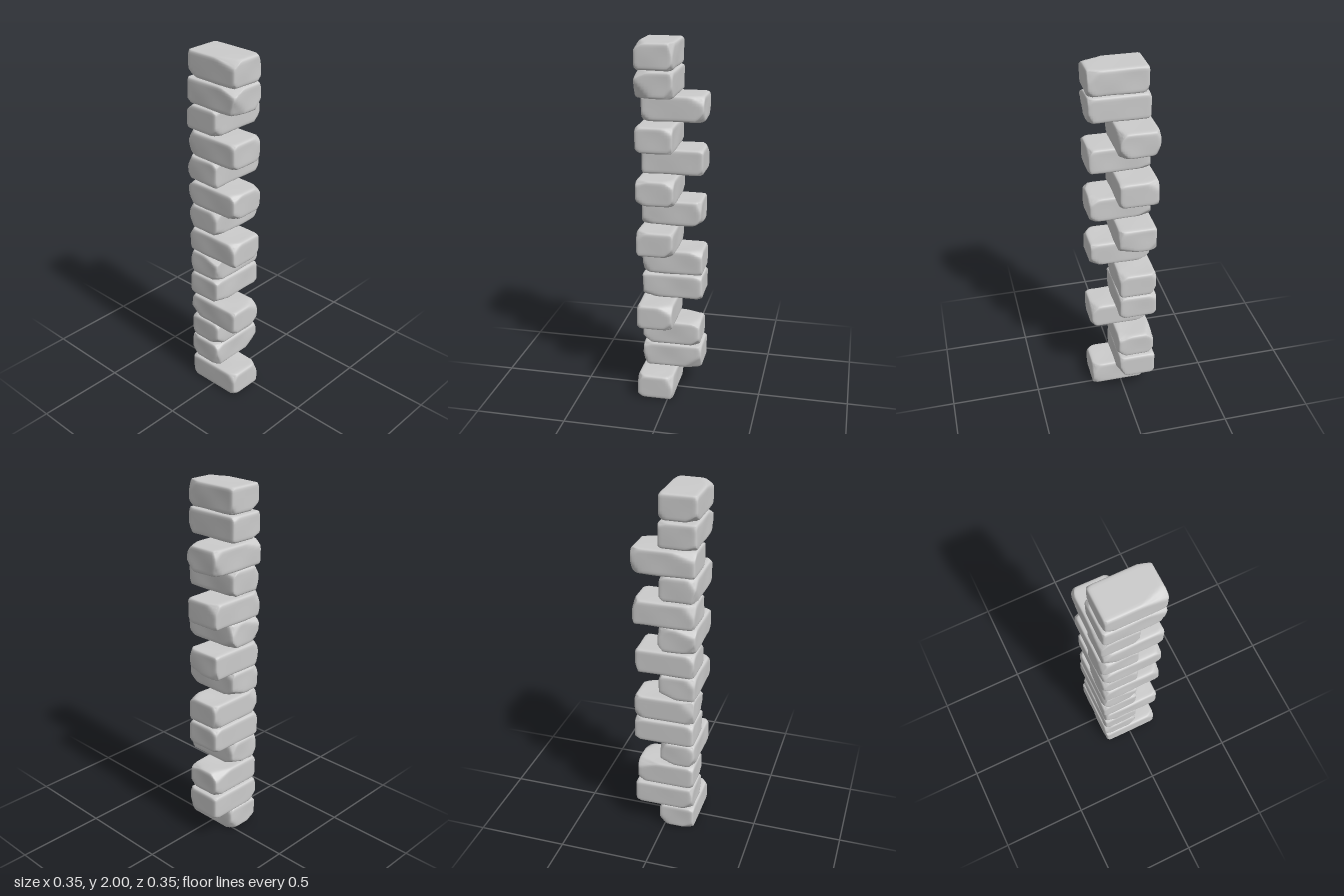
import * as THREE from 'three';
import { mergeVertices } from 'three/addons/utils/BufferGeometryUtils.js';

// Small seeded generator so every stone wears differently but repeatably
function seeded(seed) {
  let s = seed * 7919 + 17;
  return () => {
    s = (s * 16807) % 2147483647;
    return s / 2147483647;
  };
}

// Worn block filling the box min..max: rounded edges, chipped corners, soft dents
function stoneGeometry(min, max, seed) {
  const rnd = seeded(seed);
  for (let i = 0; i < 5; i++) rnd();
  const size = max.clone().sub(min);
  const centre = max.clone().add(min).multiplyScalar(0.5);
  const half = size.clone().multiplyScalar(0.5);
  const seg = (l) => Math.round(10 + l * 30);
  let geo = new THREE.BoxGeometry(2, 2, 2, seg(size.x), seg(size.y), seg(size.z));
  geo.deleteAttribute('uv');
  geo.deleteAttribute('normal');
  geo = mergeVertices(geo);

  // Slanted planes that shave corners and edges
  const cuts = [];
  for (const sx of [-1, 1]) for (const sy of [-1, 1]) for (const sz of [-1, 1]) {
    const n = new THREE.Vector3(
      sx * (0.35 + rnd()), sy * (0.35 + rnd()), sz * (0.35 + rnd())).normalize();
    const reach = Math.abs(n.x) * half.x + Math.abs(n.y) * half.y + Math.abs(n.z) * half.z;
    cuts.push({ n, d: reach - 0.015 - 0.022 * rnd() });
  }
  const phase = [rnd() * 6, rnd() * 6, rnd() * 6];
  const radius = 0.018;
  const inner = half.clone().subScalar(radius);
  const pos = geo.attributes.position;
  const p = new THREE.Vector3(), core = new THREE.Vector3();
  const ease = (t) => Math.sin(t * Math.PI / 2); // crowd vertices toward the edges

  for (let i = 0; i < pos.count; i++) {
    p.fromBufferAttribute(pos, i);
    p.set(ease(p.x), ease(p.y), ease(p.z)).multiply(half);
    core.copy(p).clamp(inner.clone().negate(), inner);
    p.sub(core).setLength(radius).add(core);
    for (const { n, d } of cuts) p.addScaledVector(n, -Math.max(0, p.dot(n) - d));
    const dent = 0.004 * (0.5 + 0.5 * Math.sin(p.x * 24 + phase[0])
      * Math.sin(p.y * 30 + phase[1]) * Math.cos(p.z * 24 + phase[2]));
    p.addScaledVector(p.clone().sub(core).normalize(), -dent);
    p.add(centre);
    pos.setXYZ(i, p.x, p.y, p.z);
  }
  geo.computeVertexNormals();
  return geo;
}

export function createModel() {
  const group = new THREE.Group();
  const material = new THREE.MeshStandardMaterial({ color: 0xcccccc });

  // Courses from the ground up: direction of the long side, left x, right x, back z
  const courses = [
    ['x', -0.162, 0.172, -0.033],
    ['z', -0.172, 0.040, -0.171],
    ['z', -0.165, 0.044, -0.160],
    ['x', -0.163, 0.172, -0.028],
    ['z', -0.174, 0.040, -0.171],
    ['z', -0.170, 0.040, -0.171],
    ['x', -0.166, 0.172, -0.033],
    ['z', -0.170, 0.042, -0.162],
    ['x', -0.168, 0.172, -0.037],
    ['z', -0.175, 0.041, -0.171],
    ['x', -0.163, 0.172, -0.031],
    ['z', -0.175, 0.042, -0.174],
    ['x', -0.163, 0.172, -0.034],
    ['x', -0.152, 0.172, -0.033],
  ];
  const pitch = 2 / courses.length;

  courses.forEach(([dir, left, right, back], i) => {
    const min = new THREE.Vector3(left, i * pitch, back);
    const max = new THREE.Vector3(right, (i + 1) * pitch, dir === 'x' ? 0.174 : 0.17);
    const stone = new THREE.Mesh(stoneGeometry(min, max, i + 1), material);
    stone.name = (dir === 'x' ? 'sidewaysStone' : 'backwardStone') + (i + 1);
    group.add(stone);
  });
  group.name = 'cornerStones';
  return group;
}
